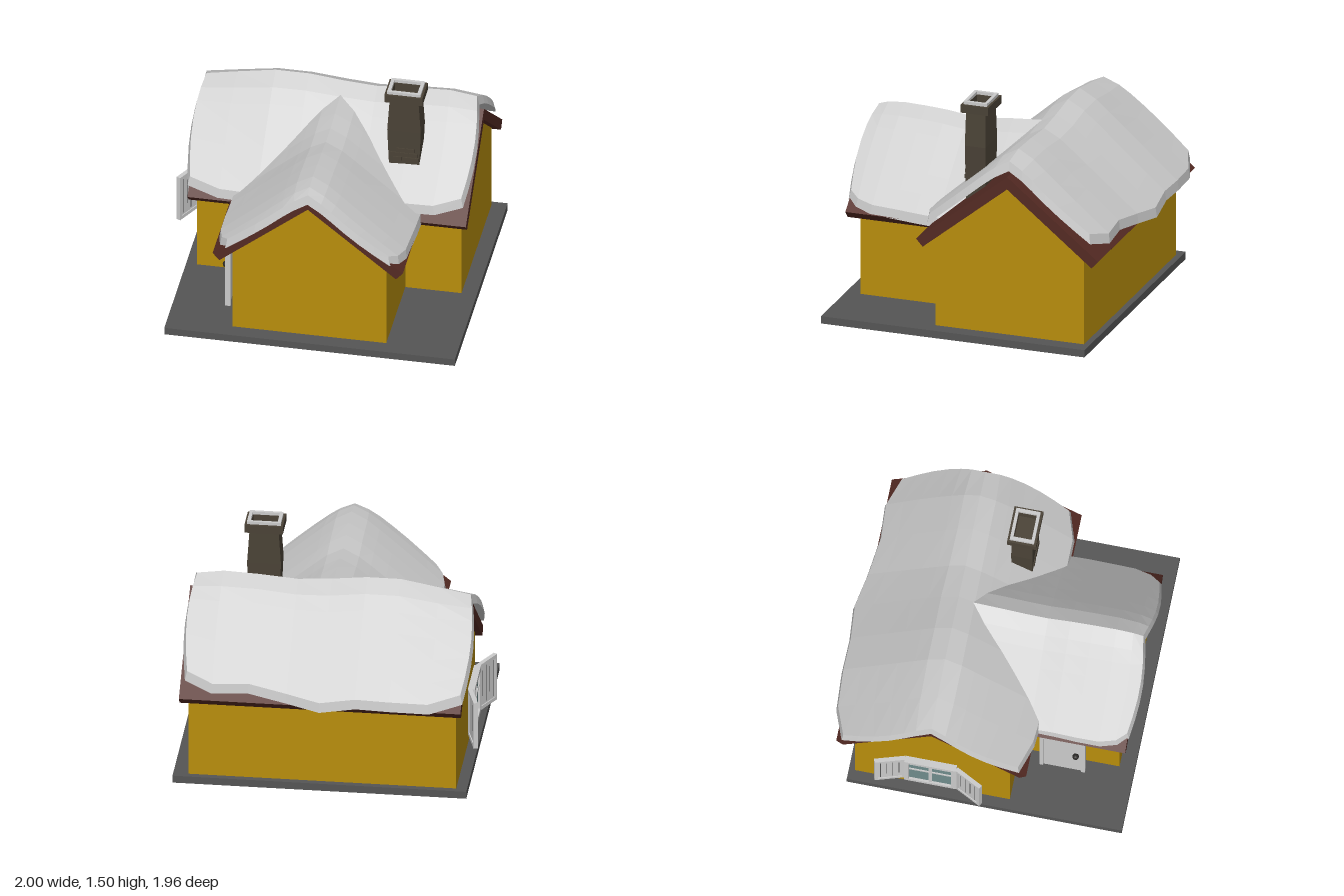
import * as THREE from 'three';

const mat = (color, side = THREE.FrontSide) =>
  new THREE.MeshStandardMaterial({ color, flatShading: true, side });
const SNOW = mat(0xcccccc, THREE.DoubleSide), GREY = mat(0xcccccc), STONE = mat(0x555555);
const WALL = mat(0xb88e0c), ROOF = mat(0x542a23), BRICK = mat(0x4a4236), DARK = mat(0x2c2a28);
const GLASS = mat(0x6f8c8c);

function add(parent, name, geometry, material, x = 0, y = 0, z = 0) {
  const m = new THREE.Mesh(geometry, material);
  m.name = name;
  m.position.set(x, y, z);
  parent.add(m);
  return m;
}
const box = (parent, name, material, w, h, d, x, y, z) =>
  add(parent, name, new THREE.BoxGeometry(w, h, d), material, x, y, z);

// Box given by its min and max corners
const span = (parent, name, material, x0, x1, y0, y1, z0, z1) =>
  box(parent, name, material, x1 - x0, y1 - y0, z1 - z0, (x0 + x1) / 2, (y0 + y1) / 2, (z0 + z1) / 2);

// Profile extruded along z from a to b
function prism(points, a, b) {
  const shape = new THREE.Shape(points.map(([x, y]) => new THREE.Vector2(x, y)));
  return new THREE.ExtrudeGeometry(shape, { depth: b - a, bevelEnabled: false }).translate(0, 0, a);
}
const gable = (half) => [[-half, 0.05], [half, 0.05], [half, 1.07 - 0.81 * half], [0, 1.07], [-half, 1.07 - 0.81 * half]];
const chevron = [[-0.58, 0.6], [0, 1.07], [0.58, 0.6], [0.625, 0.65], [0, 1.155], [-0.625, 0.65]];

// Sagging snow sheet: ridge along x, falling to both sides in z
function snowSheet({ along, ridge, front, back, base }) {
  const fr = [-1, -0.82, -0.64, -0.46, -0.3, -0.17, 0, 0.17, 0.3, 0.46, 0.64, 0.82, 1];
  const n = along.length, m = fr.length, pos = [], idx = [];
  const first = along[0], last = along[n - 1], mid = (first + last) / 2, halfLen = (last - first) / 2;
  for (const layer of [0, 1]) {
    for (let i = 0; i < n; i++) {
      for (const f of fr) {
        const t = Math.abs(f);
        const d = t * (f < 0 ? back[i] : front[i]);
        const drop = d < 0.115 ? 0.55 * d : 0.063 + 0.86 * (d - 0.115);
        const end = Math.pow((along[i] - mid) / halfLen, 5);
        const x = along[i] + 0.035 * Math.sin(Math.PI * t) * end;
        const y = base + (ridge[i] - base) * (1 - 0.5 * t) - drop;
        const grow = layer ? 1.015 : 1;
        pos.push(x * grow, y - layer * 0.065, Math.sign(f) * d * grow);
      }
    }
  }
  const N = n * m, at = (i, j) => i * m + j;
  const quad = (a, b, c, d) => idx.push(a, b, c, a, c, d);
  for (let i = 0; i < n - 1; i++) {
    for (let j = 0; j < m - 1; j++) {
      const a = at(i, j), b = at(i, j + 1), c = at(i + 1, j + 1), d = at(i + 1, j);
      quad(a, b, c, d);
      quad(N + d, N + c, N + b, N + a);
    }
  }
  // Rim between top and underside
  const ring = [];
  for (let j = 0; j < m - 1; j++) ring.push(at(0, j));
  for (let i = 0; i < n - 1; i++) ring.push(at(i, m - 1));
  for (let j = m - 1; j > 0; j--) ring.push(at(n - 1, j));
  for (let i = n - 1; i > 0; i--) ring.push(at(i, 0));
  ring.forEach((p, k) => {
    const q = ring[(k + 1) % ring.length];
    quad(q, p, N + p, N + q);
  });
  const g = new THREE.BufferGeometry();
  g.setAttribute('position', new THREE.Float32BufferAttribute(pos, 3));
  g.setIndex(idx);
  g.computeVertexNormals();
  return g;
}

// Rectangular ring with a hole, lying flat
function flatFrame(w, d, iw, id, h) {
  const rect = (P, a, b) => new P([[-a, -b], [a, -b], [a, b], [-a, b]].map(([x, y]) => new THREE.Vector2(x / 2, y / 2)));
  const s = rect(THREE.Shape, w, d);
  s.holes.push(rect(THREE.Path, iw, id));
  return new THREE.ExtrudeGeometry(s, { depth: h, bevelEnabled: false }).rotateX(-Math.PI / 2);
}

function makeChimney() {
  const g = new THREE.Group();
  g.name = 'chimney';
  // Shaft that bulges in the middle
  const shaft = new THREE.BoxGeometry(0.19, 0.6, 0.135, 1, 2, 1);
  const p = shaft.attributes.position;
  for (let i = 0; i < p.count; i++) if (Math.abs(p.getY(i)) < 0.01) {
    p.setXYZ(i, p.getX(i) * 1.16, 0.07, p.getZ(i) * 1.05);
  }
  add(g, 'chimneyShaft', shaft, BRICK, 0, 1.13, 0);
  add(g, 'chimneyCap', flatFrame(0.25, 0.19, 0.17, 0.115, 0.055), BRICK, 0, 1.43, 0);
  add(g, 'chimneyRim', flatFrame(0.22, 0.16, 0.175, 0.12, 0.02), GREY, 0, 1.485, 0);
  // A few raised bricks near the foot
  const rows = [[-0.045, 0.02, 0.07], [-0.06, 0, 0.06], [-0.02, 0.04]];
  rows.forEach((row, r) => row.forEach((x) =>
    box(g, 'raisedBrick', BRICK, 0.055, 0.028, 0.02, x, 0.985 + r * 0.034, 0.066)));
  g.position.set(0.503, 0, 0.052);
  return g;
}

// Shutter hinged at its z = 0 edge, reaching along +z
function makeShutter(length) {
  const g = new THREE.Group();
  g.name = 'shutter';
  span(g, 'shutterPanel', GREY, -0.008, 0.008, 0.28, 0.59, 0.01, length - 0.01);
  for (const y of [0.27, 0.575]) span(g, 'shutterRail', GREY, -0.014, 0.014, y, y + 0.025, 0, length);
  for (const z of [0, length - 0.022]) span(g, 'shutterStile', GREY, -0.014, 0.014, 0.27, 0.6, z, z + 0.022);
  for (let k = 1; k < 5; k++) {
    const z = length * k / 5, cut = (k % 2) * 0.05;
    span(g, 'plankGroove', STONE, -0.0095, 0.0095, 0.31 + cut, 0.57 - cut / 2, z - 0.002, z + 0.002);
  }
  return g;
}

function makeWindow() {
  const g = new THREE.Group();
  g.name = 'window';
  const z0 = -0.46, z1 = -0.12, zc = (z0 + z1) / 2;
  span(g, 'glass', GLASS, -0.905, -0.89, 0.29, 0.58, z0 + 0.02, z1 - 0.02);
  for (const y of [0.27, 0.57]) span(g, 'windowRail', GREY, -0.92, -0.875, y, y + 0.03, z0, z1);
  for (const z of [z0, z1 - 0.03]) span(g, 'windowPost', GREY, -0.92, -0.875, 0.27, 0.6, z, z + 0.03);
  span(g, 'windowMullion', GREY, -0.914, -0.88, 0.28, 0.59, zc - 0.012, zc + 0.012);
  span(g, 'windowCrossbar', GREY, -0.912, -0.882, 0.46, 0.475, z0, z1);
  const near = makeShutter(0.2), far = makeShutter(0.2);
  near.position.set(-0.9, 0, -0.12);
  near.rotation.y = -0.48;
  far.position.set(-0.89, 0, -0.46);
  far.rotation.y = Math.PI + 0.3;
  g.add(near, far);
  return g;
}

function makeDoor() {
  const g = new THREE.Group();
  g.name = 'door';
  span(g, 'doorPanel', GREY, -0.56, -0.545, 0.06, 0.56, 0.37, 0.65);
  for (const z of [0.36, 0.635]) span(g, 'doorPost', GREY, -0.57, -0.535, 0.06, 0.575, z, z + 0.025);
  span(g, 'doorLintel', GREY, -0.57, -0.535, 0.55, 0.575, 0.36, 0.66);
  add(g, 'doorKnob', new THREE.SphereGeometry(0.022, 10, 8), DARK, -0.575, 0.345, 0.6);
  return g;
}

export function createModel() {
  const house = new THREE.Group();
  house.name = 'snowyHouse';
  span(house, 'basePlate', STONE, -0.91, 1, 0, 0.05, -0.84, 0.97);

  // Main block runs along x, wing runs along z to the front
  const turn = Math.PI / 2;
  add(house, 'mainWalls', prism(gable(0.51), -0.84, 0.9).rotateY(turn), WALL, 0, 0, -0.29);
  add(house, 'wingWalls', prism(gable(0.505), -0.29, 0.87), WALL, 0.025, 0, 0);
  add(house, 'mainRoof', prism(chevron, -0.88, 0.95).rotateY(turn), ROOF, 0, 0, -0.29);
  add(house, 'wingRoof', prism(chevron, -0.29, 0.93), ROOF, 0.025, 0, 0);

  // Snow on both roofs
  add(house, 'mainSnow', snowSheet({
    along: [-0.875, -0.67, -0.42, -0.2, 0.03, 0.25, 0.5, 0.73, 0.905],
    ridge: [1.2, 1.24, 1.285, 1.285, 1.26, 1.245, 1.265, 1.275, 1.25],
    back: [0.58, 0.655, 0.67, 0.665, 0.685, 0.64, 0.605, 0.62, 0.55],
    front: [0.57, 0.63, 0.65, 0.64, 0.62, 0.61, 0.61, 0.61, 0.55],
    base: 1.26,
  }), SNOW, 0, 0, -0.29);
  add(house, 'wingSnow', snowSheet({
    along: [-0.2, 0, 0.15, 0.3, 0.45, 0.6, 0.75, 0.86, 0.925],
    ridge: [1.21, 1.195, 1.18, 1.175, 1.195, 1.205, 1.21, 1.2, 1.18],
    back: [0.6, 0.62, 0.62, 0.62, 0.62, 0.615, 0.61, 0.58, 0.53],
    front: [0.6, 0.6, 0.6, 0.6, 0.6, 0.605, 0.605, 0.58, 0.53],
    base: 1.2,
  }).rotateY(-turn), SNOW, 0.025, 0, 0);

  house.add(makeChimney(), makeWindow(), makeDoor());
  return house;
}
